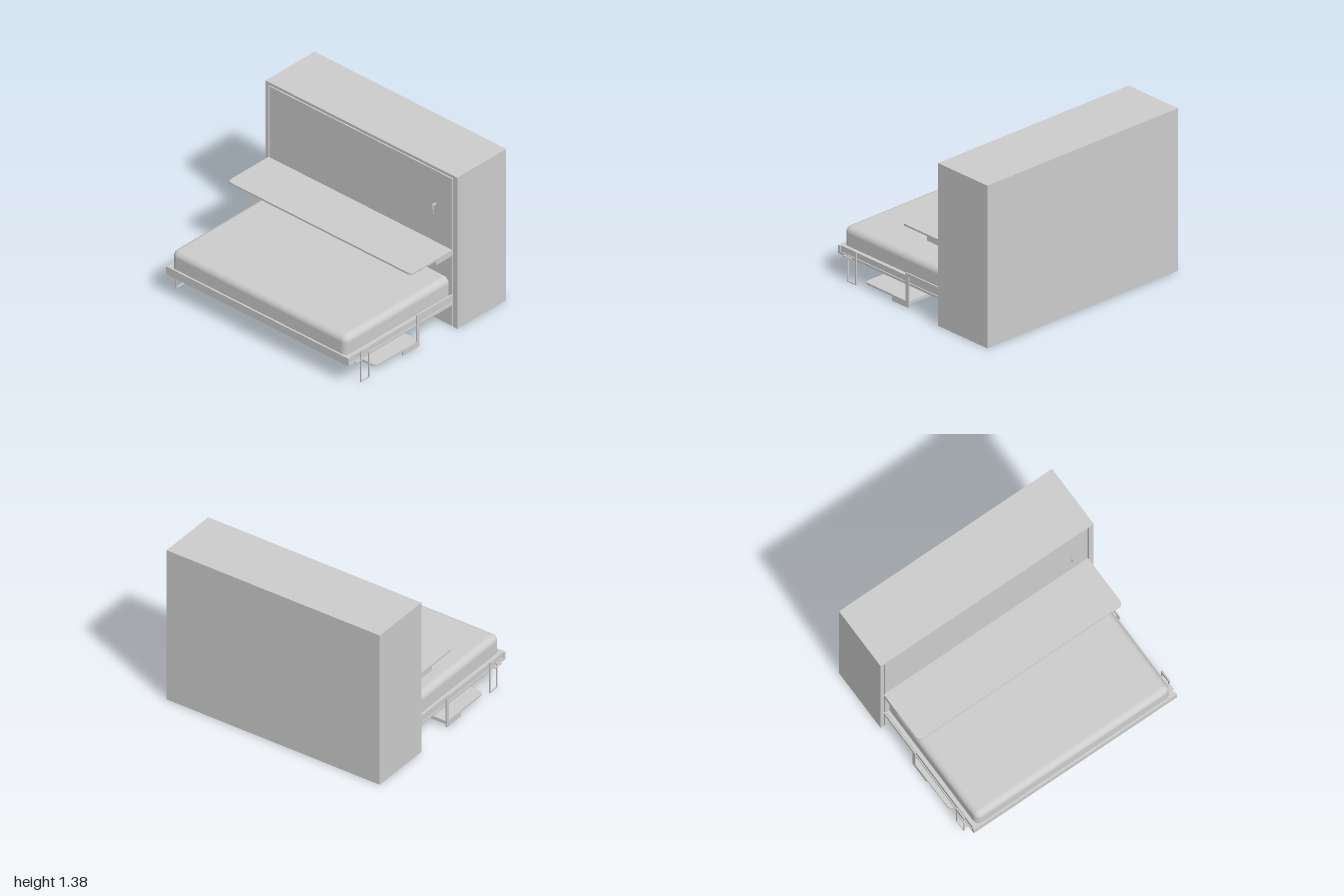
import * as THREE from 'three';
import { RoundedBoxGeometry } from 'three/addons/geometries/RoundedBoxGeometry.js';

export function createModel() {
  const model = new THREE.Group();
  const grey = new THREE.MeshStandardMaterial({ color: 0xcccccc });
  grey.name = 'light grey';

  const add = (name, geometry, parent = model) => {
    const mesh = new THREE.Mesh(geometry, grey);
    mesh.name = name;
    parent.add(mesh);
    return mesh;
  };
  // Box given by its limits on each axis
  const box = (name, x0, x1, y0, y1, z0, z1, parent) => {
    const mesh = add(name, new THREE.BoxGeometry(x1 - x0, y1 - y0, z1 - z0), parent);
    mesh.position.set((x0 + x1) / 2, (y0 + y1) / 2, (z0 + z1) / 2);
    return mesh;
  };
  // Outline of [z, y] points, given thickness along x
  const sidePlate = (name, points, x0, x1, parent, hole) => {
    const shape = new THREE.Shape(points.map(([z, y]) => new THREE.Vector2(-z, y)));
    if (hole) shape.holes.push(new THREE.Path(hole.map(([z, y]) => new THREE.Vector2(-z, y))));
    const geometry = new THREE.ExtrudeGeometry(shape, { depth: x1 - x0, bevelEnabled: false });
    geometry.rotateY(Math.PI / 2).translate(x0, 0, 0);
    return add(name, geometry, parent);
  };
  // Flat shelf with rounded front corners
  const shelf = (name, x0, x1, y0, y1, z0, z1, parent) => {
    const r = 0.045;
    const s = new THREE.Shape();
    s.moveTo(x0, -z0);
    s.lineTo(x0, -z1 + r);
    s.quadraticCurveTo(x0, -z1, x0 + r, -z1);
    s.lineTo(x1 - r, -z1);
    s.quadraticCurveTo(x1, -z1, x1, -z1 + r);
    s.lineTo(x1, -z0);
    const geometry = new THREE.ExtrudeGeometry(s, { depth: y1 - y0, bevelEnabled: false, curveSegments: 8 });
    geometry.rotateX(-Math.PI / 2).translate(0, y0, 0);
    return add(name, geometry, parent);
  };

  // Cabinet: solid body, front rim and a door panel separated by a thin groove
  const cabinet = new THREE.Group();
  cabinet.name = 'cabinet';
  model.add(cabinet);
  box('cabinetBody', -1, 1, 0, 1.38, -0.86, -0.335, cabinet);
  box('rimRight', -1, -0.967, 0, 1.38, -0.335, -0.31, cabinet);
  box('rimLeft', 0.957, 1, 0, 1.38, -0.335, -0.31, cabinet);
  box('rimTop', -0.967, 0.957, 1.355, 1.38, -0.335, -0.31, cabinet);
  box('doorPanel', -0.96, 0.945, 0, 1.343, -0.335, -0.312, cabinet);

  // Door lock with a hanging key
  const lock = new THREE.Group();
  lock.name = 'lock';
  model.add(lock);
  const barrel = add('lockBarrel', new THREE.CylinderGeometry(0.007, 0.007, 0.035, 12), lock);
  barrel.rotation.x = Math.PI / 2;
  barrel.position.set(0.775, 1.045, -0.297);
  const keyHead = add('keyHead', new THREE.CylinderGeometry(0.014, 0.014, 0.006, 16), lock);
  keyHead.rotation.z = Math.PI / 2;
  keyHead.position.set(0.775, 1.045, -0.286);
  const ring = add('keyRing', new THREE.TorusGeometry(0.01, 0.003, 6, 16), lock);
  ring.rotation.y = Math.PI / 2;
  ring.position.set(0.775, 1.022, -0.278);
  box('hangingKey', 0.772, 0.779, 0.967, 1.013, -0.281, -0.273, lock);

  // Upper shelf with end brackets and a rear batten
  const upper = new THREE.Group();
  upper.name = 'upperShelf';
  model.add(upper);
  shelf('upperBoard', -0.97, 0.947, 0.68, 0.696, -0.312, 0.152, upper);
  box('upperBatten', -0.955, 0.93, 0.664, 0.68, -0.312, -0.14, upper);
  for (const x of [-0.97, 0.932]) {
    box('upperBracket', x, x + 0.015, 0.643, 0.68, -0.312, -0.13, upper);
  }

  // Bed frame: base panel with a raised border
  const bed = new THREE.Group();
  bed.name = 'bed';
  model.add(bed);
  box('bedBase', -0.957, 0.95, 0.193, 0.213, -0.312, 0.858, bed);
  box('frontRail', -0.957, 0.95, 0.213, 0.262, 0.836, 0.858, bed);
  for (const side of [-1, 1]) {
    const x = side * 0.925 - 0.004;
    box('sideRail', x - 0.02, x + 0.02, 0.213, 0.262, -0.312, 0.836, bed);
  }
  box('bedDeck', -0.94, 0.93, 0.213, 0.255, -0.312, 0.84, bed);

  // Soft mattress, its back end tucked into the cabinet
  const mattress = add('mattress', new RoundedBoxGeometry(1.825, 0.215, 1.24, 8, 0.055), bed);
  mattress.position.set(-0.004, 0.315, 0.222);

  // Folding loop legs with a pivot peg at the top
  for (const side of [-1, 1]) {
    const leg = new THREE.Group();
    leg.name = side > 0 ? 'leftLeg' : 'rightLeg';
    model.add(leg);
    const x = side * 0.963;
    sidePlate('legLoop', [[0.64, 0], [0.64, 0.283], [0.74, 0.283], [0.74, 0]], x - 0.006, x + 0.006, leg,
      [[0.649, 0.009], [0.649, 0.232], [0.731, 0.232], [0.731, 0.009]]);
    const peg = add('legPivot', new THREE.CylinderGeometry(0.009, 0.009, 0.045, 12), leg);
    peg.rotation.z = Math.PI / 2;
    peg.position.set(side * 0.952, 0.24, 0.72);
    box('legStop', x - 0.012, x + 0.005, 0.197, 0.205, 0.7, 0.79, leg);
  }

  // Lower shelf carried by stepped arms on both sides
  const lower = new THREE.Group();
  lower.name = 'lowerShelf';
  model.add(lower);
  shelf('lowerBoard', -0.967, 0.953, 0.04, 0.056, 0.07, 0.557, lower);
  for (const z of [0.075, 0.125, 0.175, 0.225]) {
    box('lowerBatten', -0.955, 0.94, 0.024, 0.04, z, z + 0.025, lower);
  }
  const arm = [[-0.312, 0.295], [0.097, 0.295], [0.097, 0.056], [0.252, 0.056], [0.252, 0.004],
    [0.068, 0.004], [0.068, 0.266], [-0.312, 0.266]];
  sidePlate('rightArm', arm, -0.97, -0.958, lower);
  sidePlate('leftArm', arm, 0.945, 0.957, lower);

  return model;
}
